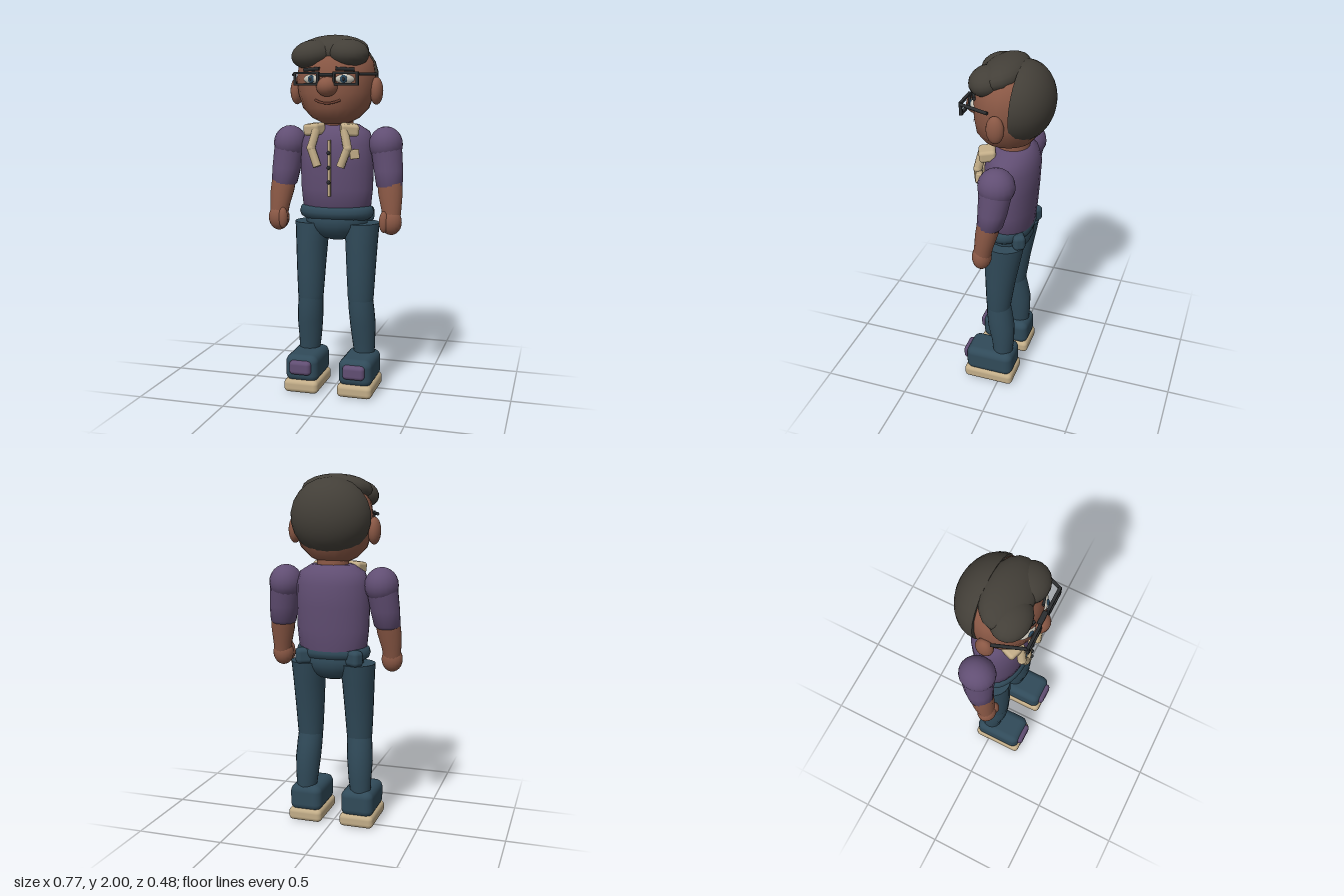
import * as THREE from 'three';
import { toCreasedNormals } from 'three/addons/utils/BufferGeometryUtils.js';
import { RoundedBoxGeometry } from 'three/addons/geometries/RoundedBoxGeometry.js';

function material(name, color) {
  const m = new THREE.MeshStandardMaterial({ color });
  m.name = name;
  return m;
}

// Closed body through elliptical rings [y, cx, cz, rx, rz], listed from bottom to top
function loft(rings, mirror = 1, n = 20) {
  const pos = [], idx = [];
  for (const [y, cx, cz, rx, rz] of rings) {
    for (let j = 0; j < n; j++) {
      const a = (j / n) * Math.PI * 2;
      pos.push(cx * mirror + rx * Math.cos(a), y, cz + rz * Math.sin(a));
    }
  }
  const top = (rings.length - 1) * n, low = rings.length * n;
  for (const r of [rings[0], rings[rings.length - 1]]) pos.push(r[1] * mirror, r[0], r[2]);
  for (let j = 0; j < n; j++) {
    const k = (j + 1) % n;
    for (let i = 0; i < top; i += n) idx.push(i + j, i + n + j, i + k, i + k, i + n + j, i + n + k);
    idx.push(low, j, k, low + 1, top + k, top + j);
  }
  const g = new THREE.BufferGeometry();
  g.setAttribute('position', new THREE.Float32BufferAttribute(pos, 3));
  g.setIndex(idx);
  return toCreasedNormals(g, 0.95);
}

export function createModel() {
  const model = new THREE.Group();
  model.name = 'standingMan';
  const skin = material('skin', 0x8a5845);
  const hair = material('hair', 0x433f38);
  const purple = material('purpleShirt', 0x614e73);
  const denim = material('denim', 0x304a59);
  const cream = material('cream', 0xc2ad88);
  const dark = material('darkFrame', 0x2b2d2f);
  const white = material('eyeWhite', 0xc8c4b8);
  const iris = material('iris', 0x2c4a60);
  const lip = material('lip', 0x6e4032);

  const add = (name, geometry, mat, p = [0, 0, 0], r = [0, 0, 0]) => {
    const m = new THREE.Mesh(geometry, mat);
    m.name = name;
    m.position.set(...p);
    m.rotation.set(...r);
    model.add(m);
    return m;
  };
  const ball = (name, mat, p, size, r) => {
    const m = add(name, new THREE.SphereGeometry(1, 18, 12), mat, p, r);
    m.scale.set(...size);
    return m;
  };
  const box = (name, mat, p, size, radius, r) =>
    add(name, new RoundedBoxGeometry(...size, 3, radius), mat, p, r);
  const rod = (name, mat, a, b, radius) => {
    const va = new THREE.Vector3(...a), d = new THREE.Vector3(...b).sub(va);
    const m = add(name, new THREE.CylinderGeometry(radius, radius, d.length(), 8), mat);
    m.position.copy(va).addScaledVector(d, 0.5);
    m.quaternion.setFromUnitVectors(new THREE.Vector3(0, 1, 0), d.normalize());
    return m;
  };

  // Head and neck
  add('head', loft([
    [1.515, 0, 0.01, 0.07, 0.08], [1.545, 0, 0.01, 0.13, 0.135], [1.6, 0, 0.005, 0.185, 0.172],
    [1.68, 0, 0, 0.212, 0.186], [1.77, 0, 0, 0.22, 0.188], [1.85, 0, -0.005, 0.208, 0.172],
    [1.91, 0, -0.01, 0.165, 0.135], [1.945, 0, -0.01, 0.08, 0.07],
  ]), skin);
  add('neck', new THREE.CylinderGeometry(0.085, 0.095, 0.15, 18), skin, [0, 1.51, -0.02]);
  ball('nose', skin, [0, 1.715, 0.185], [0.058, 0.053, 0.055]);
  const smile = new THREE.QuadraticBezierCurve3(
    new THREE.Vector3(-0.07, 1.645, 0.172), new THREE.Vector3(0, 1.61, 0.205), new THREE.Vector3(0.07, 1.645, 0.172));
  add('mouth', new THREE.TubeGeometry(smile, 12, 0.007, 6), lip);

  // Back of the hair: closed half dome pointing backwards
  const arc = [new THREE.Vector2(0, 0)];
  for (let i = 0; i <= 9; i++) {
    const a = (i / 9) * Math.PI / 2;
    arc.push(new THREE.Vector2(Math.max(Math.cos(a), 0), Math.sin(a)));
  }
  const dome = new THREE.LatheGeometry(arc, 22).rotateX(-Math.PI / 2).scale(0.225, 0.215, 0.18);
  add('backHair', toCreasedNormals(dome, 0.9), hair, [-0.003, 1.767, -0.062], [-0.06, 0, 0]);

  // Front hair with a parted fringe
  ball('topHair', hair, [-0.01, 1.91, 0.025], [0.2, 0.083, 0.13], [0.25, 0, 0]);
  ball('fringe', hair, [-0.108, 1.888, 0.085], [0.122, 0.078, 0.102], [0.2, 0, 0.12]);
  ball('fringe', hair, [0.092, 1.893, 0.085], [0.113, 0.075, 0.1], [0.2, 0, -0.1]);

  // Shirt body
  add('shirt', loft([
    [1.0, 0, -0.025, 0.165, 0.105], [1.04, 0, -0.015, 0.195, 0.125], [1.15, 0, -0.015, 0.206, 0.137],
    [1.28, 0, -0.015, 0.21, 0.147], [1.4, 0, -0.02, 0.205, 0.149], [1.47, 0, -0.025, 0.185, 0.125],
    [1.51, 0, -0.025, 0.12, 0.09],
  ], 1, 24), purple);
  box('placket', cream, [0, 1.275, 0.145], [0.016, 0.31, 0.024], 0.005);
  for (const y of [1.2, 1.28, 1.36]) ball('button', dark, [0, y, 0.16], [0.011, 0.011, 0.008]);
  box('chestPocket', cream, [0.137, 1.355, 0.128], [0.052, 0.052, 0.035], 0.006, [0, 0.3, 0.1]);

  // Waistband and hips
  const waist = new THREE.TorusGeometry(1, 0.045, 10, 28).rotateX(Math.PI / 2);
  const wp = waist.attributes.position;
  for (let i = 0; i < wp.count; i++) {
    const x = wp.getX(i), z = wp.getZ(i), r = Math.hypot(x, z);
    wp.setXYZ(i, (x / r) * (r - 0.83), wp.getY(i), (z / r) * (r - 0.91));
  }
  waist.computeVertexNormals();
  add('waistband', toCreasedNormals(waist, 1.2), denim, [0, 1.022, -0.008]);
  ball('hips', denim, [0, 0.975, -0.01], [0.18, 0.118, 0.125]);

  // Glasses
  const rim = (cx) => {
    const rect = (Path, w, h) => {
      const p = new Path();
      p.moveTo(-w, -h).lineTo(w, -h).lineTo(w, h).lineTo(-w, h).closePath();
      return p;
    };
    const s = rect(THREE.Shape, 0.07, 0.036);
    s.holes.push(rect(THREE.Path, 0.057, 0.024));
    add('glassesRim', new THREE.ExtrudeGeometry(s, { depth: 0.016, bevelEnabled: false }), dark, [cx, 1.757, 0.197]);
  };
  box('glassesBridge', dark, [0, 1.778, 0.197], [0.075, 0.018, 0.026], 0.006);

  for (const s of [1, -1]) {
    // Face details
    ball('ear', skin, [s * 0.228, 1.693, 0.003], [0.036, 0.075, 0.048]);
    ball('eye', white, [s * 0.092, 1.755, 0.161], [0.052, 0.026, 0.022], [0, s * 0.4, 0]);
    ball('iris', iris, [s * 0.09, 1.755, 0.18], [0.02, 0.021, 0.009], [0, s * 0.3, 0]);
    ball('pupil', dark, [s * 0.09, 1.755, 0.187], [0.009, 0.01, 0.005]);
    rod('eyebrow', dark, [s * 0.045, 1.81, 0.175], [s * 0.14, 1.805, 0.145], 0.01);
    rim(s * 0.108);
    rod('glassesTemple', dark, [s * 0.175, 1.78, 0.204], [s * 0.236, 1.782, 0.04], 0.009);

    // Collar and lapel
    box('collar', cream, [s * 0.1, 1.485, 0.092], [0.1, 0.065, 0.09], 0.018, [0.1, s * 0.35, s * -0.1]);
    rod('lapel', cream, [s * 0.078, 1.485, 0.125], [s * 0.103, 1.385, 0.147], 0.024);
    ball('lapelBend', cream, [s * 0.103, 1.385, 0.147], [0.024, 0.024, 0.024]);
    rod('lapel', cream, [s * 0.103, 1.385, 0.147], [s * 0.065, 1.285, 0.155], 0.023);

    // Arm
    ball('shoulder', purple, [s * 0.278, 1.4, -0.02], [0.094, 0.1, 0.1]);
    add('sleeve', loft([
      [1.16, 0.307, 0.01, 0.06, 0.06], [1.175, 0.306, 0.008, 0.074, 0.07],
      [1.26, 0.297, -0.006, 0.082, 0.08], [1.4, 0.279, -0.02, 0.088, 0.092],
    ], s, 16), purple);
    add('forearm', loft([
      [0.98, 0.328, 0.047, 0.048, 0.046], [1.05, 0.324, 0.037, 0.056, 0.052],
      [1.13, 0.315, 0.022, 0.068, 0.062], [1.2, 0.307, 0.01, 0.07, 0.064],
    ], s, 16), skin);
    ball('hand', skin, [s * 0.326, 0.98, 0.05], [0.06, 0.072, 0.053]);
    ball('thumb', skin, [s * 0.292, 0.982, 0.08], [0.027, 0.06, 0.026]);

    // Leg
    add('lowerLeg', loft([
      [0.18, 0.165, -0.012, 0.057, 0.056], [0.28, 0.16, -0.01, 0.066, 0.066],
      [0.38, 0.157, 0, 0.073, 0.078], [0.47, 0.151, 0.012, 0.073, 0.075], [0.545, 0.147, 0.02, 0.07, 0.068],
    ], s), denim);
    add('upperLeg', loft([
      [0.51, 0.148, 0.018, 0.07, 0.068], [0.54, 0.148, 0.018, 0.074, 0.072], [0.7, 0.147, 0.008, 0.083, 0.087],
      [0.85, 0.146, -0.006, 0.091, 0.102], [0.96, 0.141, -0.018, 0.103, 0.111],
    ], s), denim);
    box('backPocket', denim, [s * 0.14, 1.0, -0.092], [0.11, 0.09, 0.07], 0.025, [0, s * 0.55, 0]);

    // Shoe
    box('shoe', denim, [s * 0.155, 0.138, 0.058], [0.19, 0.155, 0.285], 0.042);
    box('sole', cream, [s * 0.155, 0.038, 0.06], [0.2, 0.076, 0.3], 0.026);
    box('toePatch', purple, [s * 0.155, 0.15, 0.2], [0.125, 0.08, 0.05], 0.022);
  }
  return model;
}
